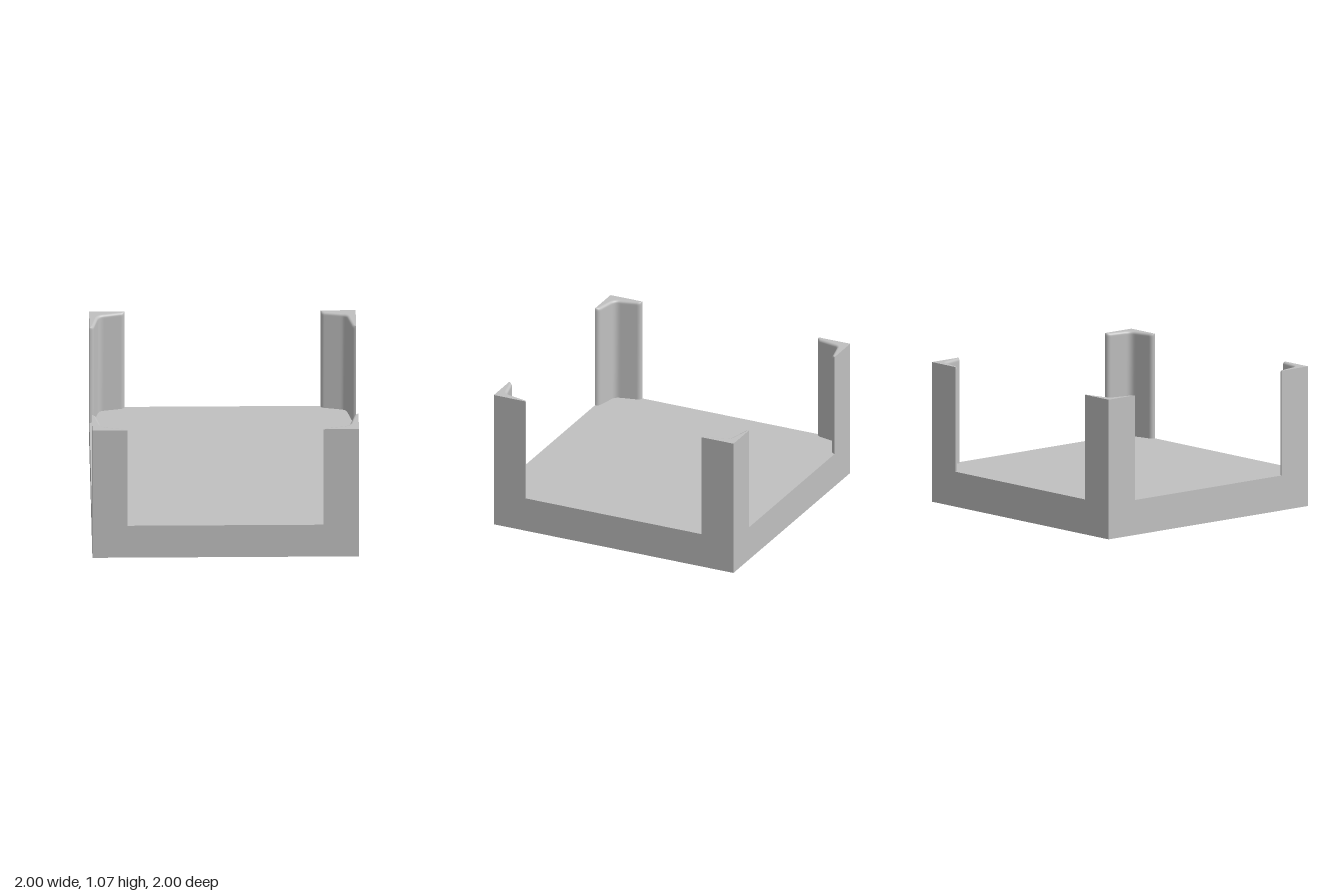
import * as THREE from 'three';
import { mergeGeometries } from 'three/addons/utils/BufferGeometryUtils.js';

const BASE = 0.267, TOP = 1.067, TIP = 0.735, ROUND = 0.02;

// Corner post in the +x +z quadrant: thin tapered L with a rounded inner top edge
function postGeometry() {
  // inner outline in plan (x, z), from one arm tip to the other
  const path = new THREE.Path();
  path.moveTo(TIP, 1);
  path.quadraticCurveTo(TIP, 0.972, 0.765, 0.965);
  path.lineTo(0.885, 0.938);
  path.quadraticCurveTo(0.93, 0.93, 0.938, 0.885);
  path.lineTo(0.965, 0.765);
  path.quadraticCurveTo(0.972, TIP, 1, TIP);
  const pts = path.getPoints(6);
  const n = pts.length;

  // direction of the inset at each point, fading to none at the tips
  const inset = pts.map((p, i) => {
    const t = pts[Math.min(i + 1, n - 1)].clone().sub(pts[Math.max(i - 1, 0)]).normalize();
    const w = Math.min(ROUND, 0.6 * (1 - Math.max(p.x, p.y)));
    return new THREE.Vector2(-t.y, t.x).multiplyScalar(w);
  });

  // rows of the inner wall: straight part, then the rounded top edge
  const rows = [[BASE, 0], [TOP - ROUND * 1.5, 0]];
  for (let k = 0; k <= 5; k++) {
    const a = (k / 5) * Math.PI / 2;
    rows.push([TOP - ROUND * (1 - Math.sin(a)), 1 - Math.cos(a)]);
  }
  const pos = [], index = [];
  rows.forEach(([y, d], j) => pts.forEach((p, i) => {
    pos.push(p.x + inset[i].x * d, y, p.y + inset[i].y * d);
    if (j && i) {
      const c = j * n + i - 1, a = c - n;
      index.push(a, c, a + 1, a + 1, c, c + 1);
    }
  }));
  const wall = new THREE.BufferGeometry();
  wall.setAttribute('position', new THREE.Float32BufferAttribute(pos, 3));
  wall.setIndex(index);
  wall.computeVertexNormals();

  // flat top
  const rim = pts.map((p, i) => new THREE.Vector2(p.x + inset[i].x, -p.y - inset[i].y));
  rim.push(new THREE.Vector2(1, -1));
  const cap = new THREE.ShapeGeometry(new THREE.Shape(rim)).rotateX(-Math.PI / 2).translate(0, TOP, 0);

  // two outer faces, flush with the base
  const mid = (1 + TIP) / 2, y = (TOP + BASE) / 2;
  const face = () => new THREE.PlaneGeometry(1 - TIP, TOP - BASE);
  const faceZ = face().translate(mid, y, 1);
  const faceX = face().rotateY(Math.PI / 2).translate(1, y, mid);

  const parts = [wall, cap, faceZ, faceX];
  parts.forEach((g) => g.deleteAttribute('uv'));
  return mergeGeometries(parts);
}

export function createModel() {
  const group = new THREE.Group();
  const grey = new THREE.MeshStandardMaterial({ color: 0xc0c0c0 });
  grey.name = 'grey';

  // solid base slab
  const base = new THREE.Mesh(new THREE.BoxGeometry(2, BASE, 2), grey);
  base.position.y = BASE / 2;
  base.name = 'base';
  group.add(base);

  // one post per corner
  const geo = postGeometry();
  ['frontLeftPost', 'backLeftPost', 'backRightPost', 'frontRightPost'].forEach((name, i) => {
    const post = new THREE.Mesh(geo, grey);
    post.rotation.y = i * Math.PI / 2;
    post.name = name;
    group.add(post);
  });
  return group;
}
